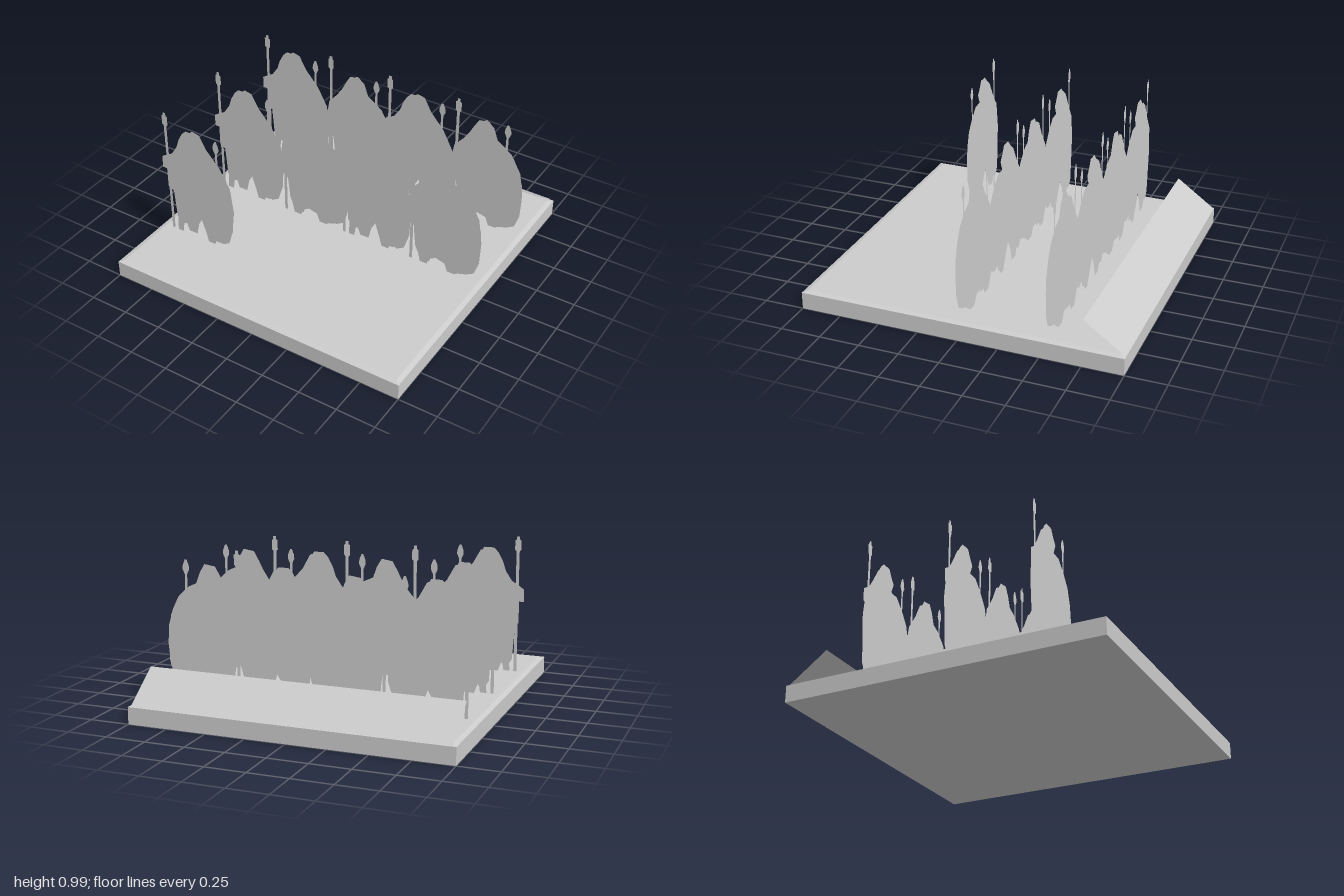
import * as THREE from 'three';

const stone = new THREE.MeshStandardMaterial({ color: 0xcccccc, side: THREE.DoubleSide, flatShading: true });
stone.name = 'plainGrey';

const GROUND = 0.115;

function add(parent, name, geometry, x = 0, y = 0, z = 0) {
  const mesh = new THREE.Mesh(geometry, stone);
  mesh.name = name;
  mesh.position.set(x, y, z);
  parent.add(mesh);
  return mesh;
}

const flat = (points) =>
  new THREE.ShapeGeometry(new THREE.Shape(points.map(([x, y]) => new THREE.Vector2(x, y))));

// Upper outlines of the two cut-out types, x from the hump centre, left to right
const outlineA = [[-0.155, 0.41], [-0.2, 0.43], [-0.2, 0.57], [-0.23, 0.57], [-0.23, 0.65], [-0.2, 0.67],
  [-0.15, 0.7], [-0.11, 0.76], [-0.09, 0.82], [-0.06, 0.875], [-0.03, 0.905], [0.035, 0.905],
  [0.06, 0.86], [0.09, 0.82], [0.065, 0.76], [0.13, 0.755], [0.19, 0.7], [0.25, 0.62], [0.28, 0.52], [0.29, 0.42], [0.285, 0.28]];
const outlineB = [[-0.155, 0.36], [-0.21, 0.4], [-0.215, 0.55], [-0.2, 0.64], [-0.14, 0.71], [-0.1, 0.77],
  [-0.075, 0.82], [-0.04, 0.88], [0.03, 0.89], [0.06, 0.84], [0.085, 0.77], [0.14, 0.745],
  [0.21, 0.68], [0.25, 0.6], [0.28, 0.5], [0.285, 0.4], [0.28, 0.27]];

// Lower edges with feet and gaps, right to left
const feetA = [[0.25, 0.17], [0.2, 0.14], [0.15, 0.16], [0.14, GROUND], [0.09, GROUND], [0.07, 0.19],
  [0.04, 0.28], [0, 0.31], [-0.03, 0.28], [-0.06, 0.2], [-0.1, 0.18], [-0.11, GROUND], [-0.15, GROUND], [-0.14, 0.28]];
const feetB = [[0.25, 0.18], [0.2, 0.15], [0.14, 0.13], [0.12, GROUND], [0.07, GROUND], [0.05, 0.17],
  [-0.01, 0.185], [-0.06, 0.16], [-0.07, GROUND], [-0.12, GROUND], [-0.14, 0.2]];

// Rear layers of the cut-outs, with a plain shoulder
const rearA = [[-0.17, 0.2], [-0.19, 0.5], [-0.17, 0.66], [-0.1, 0.77], [-0.05, 0.86], [0, 0.9], [0.05, 0.89],
  [0.1, 0.8], [0.19, 0.7], [0.26, 0.57], [0.28, 0.4], [0.26, 0.24], [0.2, 0.17], [0.16, GROUND], [0.12, GROUND],
  [0.08, 0.2], [0.04, 0.27], [0, 0.2], [-0.02, GROUND], [-0.08, GROUND], [-0.1, 0.17], [-0.14, 0.15]];
const rearB = [[-0.17, 0.2], [-0.2, 0.5], [-0.17, 0.65], [-0.1, 0.75], [-0.05, 0.85], [0, 0.88], [0.05, 0.84],
  [0.08, 0.76], [0.18, 0.69], [0.25, 0.57], [0.275, 0.4], [0.26, 0.25], [0.2, 0.16], [0.14, GROUND], [0.08, GROUND],
  [0.05, 0.17], [-0.05, 0.17], [-0.07, GROUND], [-0.13, GROUND]];

const types = {
  A: { body: flat([...outlineA, ...feetA]), rear: flat(rearA), poles: [-0.185, 0.19] },
  B: { body: flat([...outlineB, ...feetB]), rear: flat(rearB), poles: [-0.185, 0.155] },
};

// Thin pole with a block or a pointed tip
const tallPole = flat([[-0.01, GROUND], [0.01, GROUND], [0.01, 0.89], [0.02, 0.9], [0.02, 0.96],
  [0.01, 0.965], [0.01, 0.985], [-0.01, 0.985], [-0.01, 0.965], [-0.02, 0.96], [-0.02, 0.9], [-0.01, 0.89]]);
const shortPole = flat([[-0.008, 0.5], [0.008, 0.5], [0.008, 0.82], [0.022, 0.85], [0.02, 0.875], [0.006, 0.91],
  [-0.006, 0.91], [-0.02, 0.875], [-0.022, 0.85], [-0.008, 0.82]]);

function standingFigure(type, x, z) {
  const group = new THREE.Group();
  group.name = 'standingFigure' + type;
  const { body, rear, poles } = types[type];
  add(group, 'frontLayer', body);
  add(group, 'rearLayer', rear, 0, 0, -0.025);
  add(group, 'tallPole', tallPole, poles[0]);
  add(group, 'shortPole', shortPole, poles[1]);
  group.position.set(x, 0, z);
  return group;
}

// Fallen figure pieces in (x, z), seen from above
const fallenPieces = {
  fallenBody: [[-0.42, 0.37], [-0.4, 0.355], [-0.33, 0.375], [-0.2, 0.375], [-0.1, 0.36], [-0.04, 0.37], [-0.05, 0.42],
    [-0.1, 0.49], [-0.16, 0.52], [-0.2, 0.59], [-0.25, 0.64], [-0.3, 0.655], [-0.335, 0.63], [-0.33, 0.49],
    [-0.38, 0.46], [-0.355, 0.42], [-0.4, 0.4]],
  fallenPole: [[-0.34, 0.345], [-0.13, 0.35], [-0.13, 0.36], [-0.34, 0.355]],
  leftPatch: [[-0.3, 0.73], [-0.24, 0.73], [-0.245, 0.755], [-0.27, 0.755]],
  rightPatch: [[-0.2, 0.735], [-0.15, 0.73], [-0.15, 0.755], [-0.2, 0.755]],
};

export function createModel() {
  const model = new THREE.Group();
  model.name = 'figureTray';

  // Base slab with a shallow bevel around the top
  add(model, 'baseSlab', new THREE.BoxGeometry(2, 0.106, 2), 0, 0.053, 0);
  const bevel = new THREE.CylinderGeometry(0.97 * Math.SQRT2, Math.SQRT2, 0.009, 4, 1).rotateY(Math.PI / 4);
  add(model, 'baseTop', bevel, 0, 0.1105, 0);

  // Sloping panel rising from the back edge
  const panel = add(model, 'slopingPanel', new THREE.PlaneGeometry(1.96, Math.hypot(0.25, 0.18)), 0, 0.2, -0.875);
  panel.rotation.x = Math.atan2(0.25, 0.18);

  // Standing cut-outs in rows
  const columns = [['A', -0.73], ['B', -0.235], ['A', 0.205], ['B', 0.69]];
  for (const z of [-0.53, 0.01]) {
    for (const [type, x] of columns) model.add(standingFigure(type, x, z));
  }
  model.add(standingFigure('A', -0.73, 0.55));

  // Fallen cut-outs lying on the base
  for (let i = 0; i < 3; i++) {
    const fallen = new THREE.Group();
    fallen.name = 'fallenFigure';
    for (const [name, points] of Object.entries(fallenPieces)) {
      add(fallen, name, flat(points.map(([x, z]) => [x, -z])).rotateX(-Math.PI / 2));
    }
    fallen.position.set(i * 0.455, GROUND + 0.002, 0);
    model.add(fallen);
  }
  return model;
}
